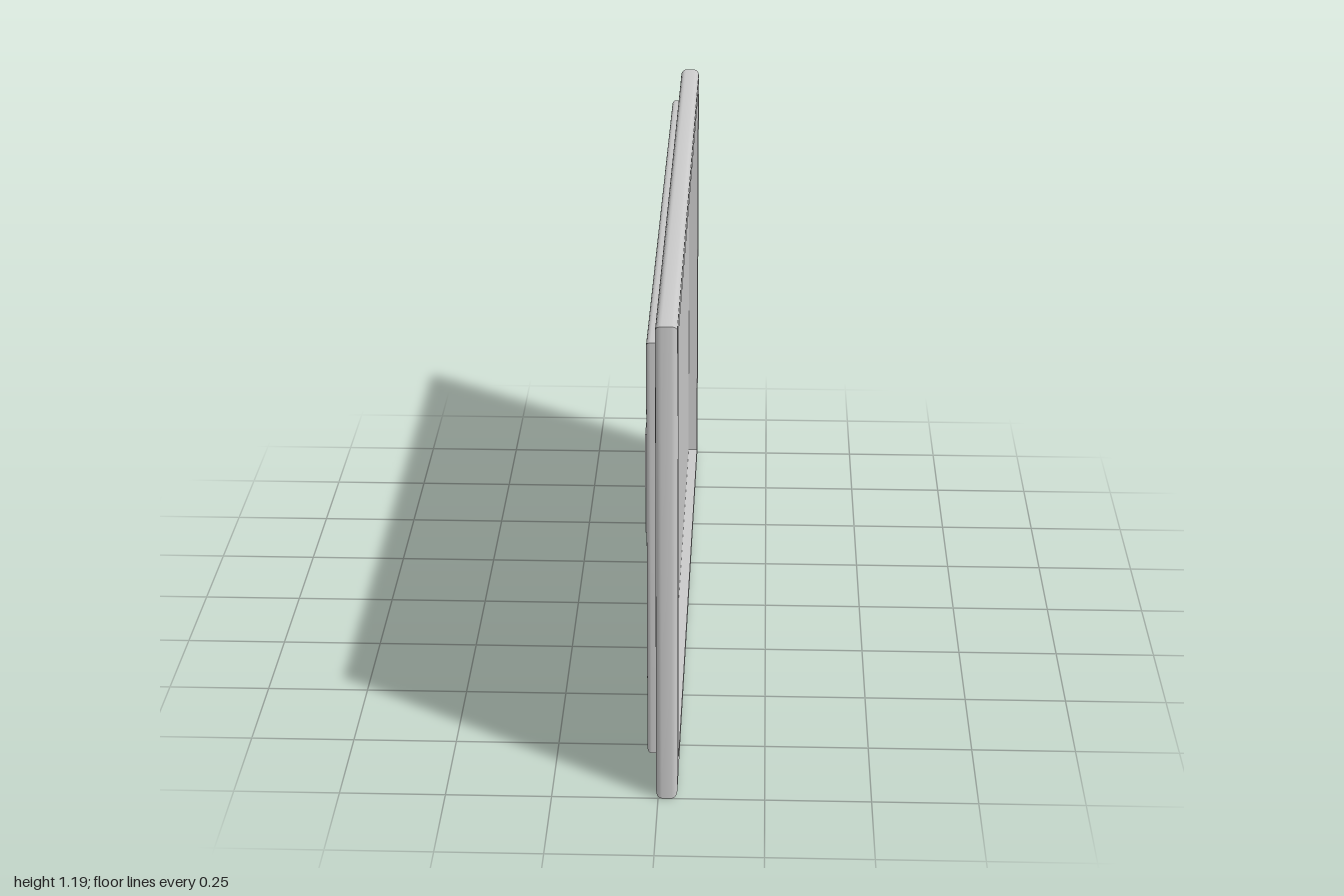
import * as THREE from 'three';
import { toCreasedNormals } from 'three/addons/utils/BufferGeometryUtils.js';

const CY = 0.5935; // mid height of the frame

// Lofts rectangles [x, halfHeight, halfDepth] along x, with mitred corners
function loftRects(rings, capBack, capFront) {
  const corners = [[-1, -1], [1, -1], [1, 1], [-1, 1]];
  const positions = [];
  const index = [];
  for (const [x, h, d] of rings) {
    for (const [sy, sz] of corners) positions.push(x, sy * h, sz * d);
  }
  for (let i = 0; i < rings.length - 1; i++) {
    for (let j = 0; j < 4; j++) {
      const a = i * 4 + j, b = i * 4 + (j + 1) % 4;
      index.push(a, b, b + 4, a, b + 4, a + 4);
    }
  }
  if (capBack) index.push(0, 2, 1, 0, 3, 2);
  if (capFront) {
    const n = (rings.length - 1) * 4;
    index.push(n, n + 1, n + 2, n, n + 2, n + 3);
  }
  const geometry = new THREE.BufferGeometry();
  geometry.setAttribute('position', new THREE.Float32BufferAttribute(positions, 3));
  geometry.setIndex(index);
  return toCreasedNormals(geometry, 0.6);
}

// Quarter-round edge: from the back face out to the side, or side to front
function roundedEdge(x, h, d, r, front) {
  const rings = [];
  const steps = 4;
  for (let i = 0; i <= steps; i++) {
    const a = (i / steps) * Math.PI / 2;
    const along = front ? -r * (1 - Math.sin(a)) : r * (1 - Math.cos(a));
    const inset = front ? r * (1 - Math.cos(a)) : r * (1 - Math.sin(a));
    rings.push([x + along, h - inset, d - inset]);
  }
  return rings;
}

export function createModel() {
  const group = new THREE.Group();
  const material = new THREE.MeshStandardMaterial({ color: 0xcccccc });
  const add = (name, geometry, x, y, z) => {
    const mesh = new THREE.Mesh(geometry, material);
    mesh.name = name;
    mesh.position.set(x, y, z);
    group.add(mesh);
    return mesh;
  };

  // Outer frame with rounded rims and a recess facing +x
  const openH = 0.549, openD = 0.918, screenX = 0.02;
  add('frame', loftRects([
    ...roundedEdge(-0.005, CY, 1, 0.014, false),
    ...roundedEdge(0.045, CY, 1, 0.014, true),
    [0.045, openH, openD],
    [screenX, openH, openD],
  ], true, false), 0, CY, 0);

  // Screen at the bottom of the recess
  const screen = add('screen', new THREE.PlaneGeometry(openD * 2, openH * 2), screenX, CY, 0);
  screen.rotation.y = Math.PI / 2;

  // Raised rear housing with a rounded rim
  add('rearHousing', loftRects([
    ...roundedEdge(-0.028, 0.521, 0.925, 0.01, false),
    [-0.004, 0.521, 0.925],
  ], true, true), 0, 0.596, -0.005);

  // Flat mounting plate on the housing
  add('mountPlate', new THREE.BoxGeometry(0.02, 0.261, 1.077), -0.037, 0.596, -0.005);

  return group;
}
